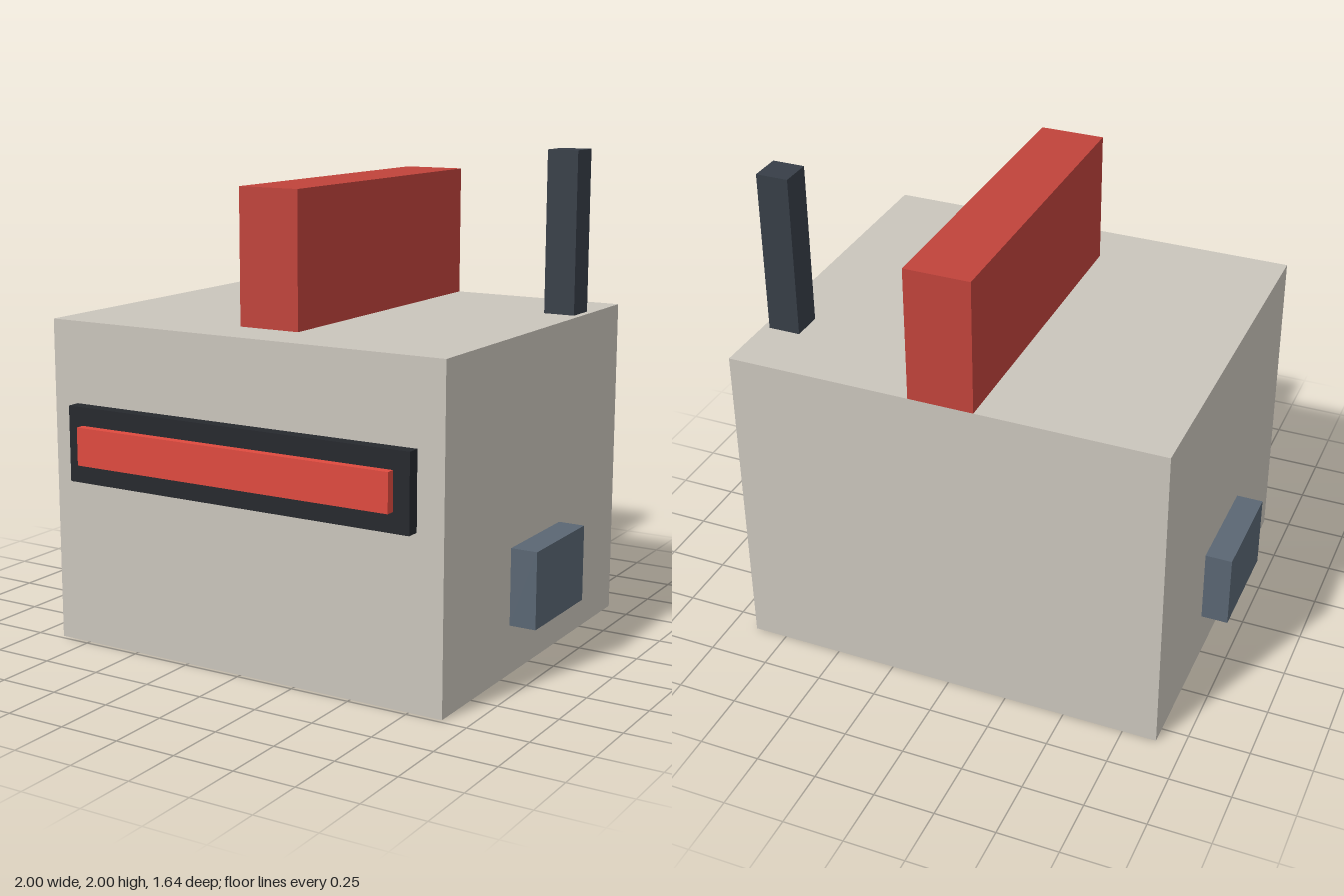
import * as THREE from 'three';

// Box given by its extents on each axis
function block(name, color, [x0, x1], [y0, y1], [z0, z1]) {
  const mesh = new THREE.Mesh(
    new THREE.BoxGeometry(x1 - x0, y1 - y0, z1 - z0),
    new THREE.MeshStandardMaterial({ color })
  );
  mesh.position.set((x0 + x1) / 2, (y0 + y1) / 2, (z0 + z1) / 2);
  mesh.name = name;
  return mesh;
}

export function createModel() {
  const model = new THREE.Group();
  model.name = 'robotHead';
  const top = 1.335, front = 0.73, back = -0.822, side = 0.89;

  // Head
  model.add(block('head', 0xcac5bc, [-side, side], [0, top], [back, front]));

  // Crest running from the back edge of the top
  model.add(block('crest', 0xc0433b, [-0.133, 0.133], [top, 1.88], [back, 0.51]));

  // Visor frame and its glowing strip
  model.add(block('visorFrame', 0x26292e, [-0.778, 0.778], [0.69, 1.0], [front, 0.785]));
  model.add(block('visorStrip', 0xdf4a3f, [-0.71, 0.71], [0.77, 0.925], [0.785, 0.822]));

  // Ear pads
  model.add(block('leftEar', 0x5a6673, [side, 1], [0.2, 0.512], [-0.267, 0.178]));
  model.add(block('rightEar', 0x5a6673, [-1, -side], [0.2, 0.512], [-0.267, 0.178]));

  // Antenna on the left side
  model.add(block('antenna', 0x373e47, [0.73, 0.862], [top, 2], [-0.557, -0.425]));

  return model;
}
